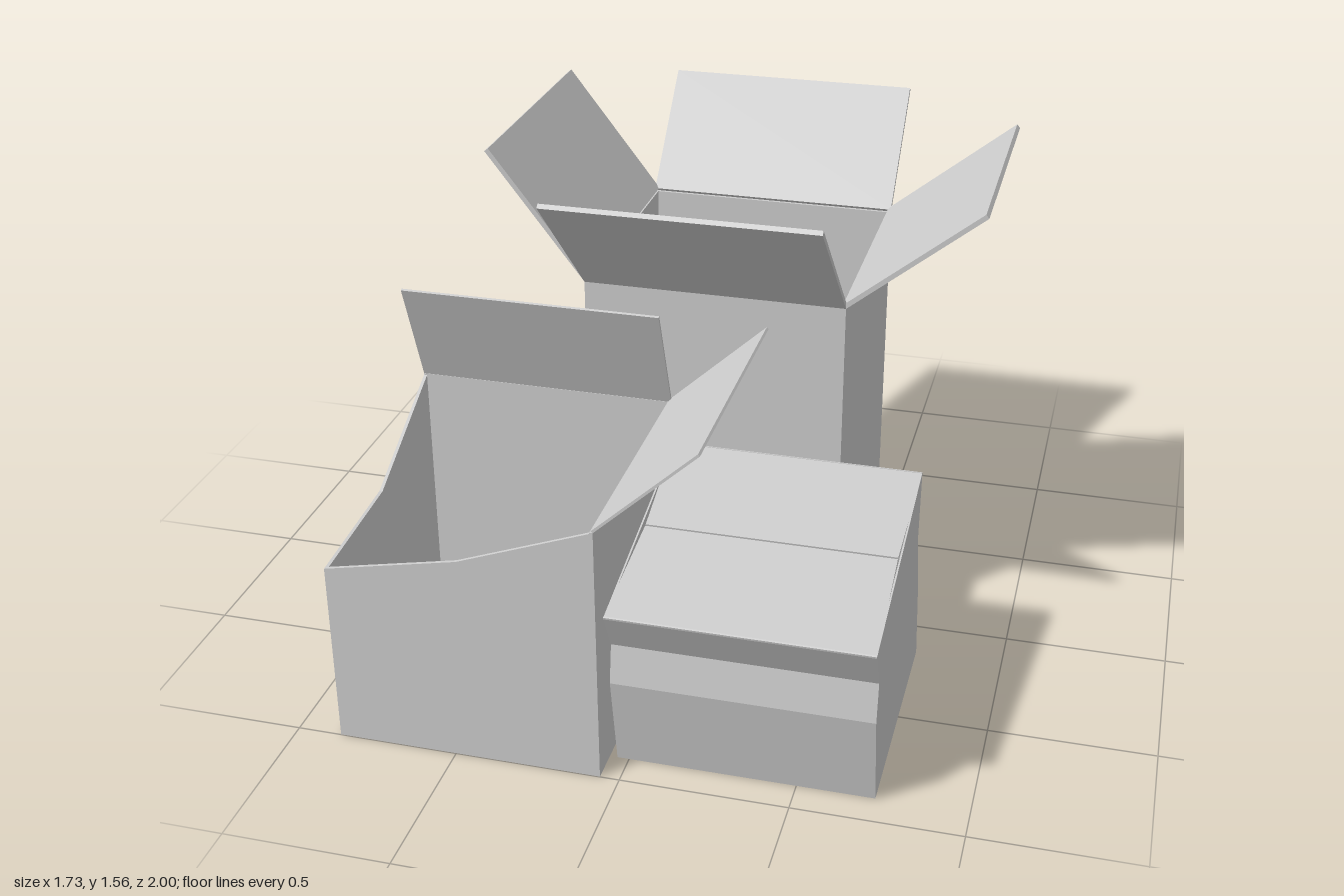
import * as THREE from 'three';

const material = new THREE.MeshStandardMaterial({ color: 0xcccccc, side: THREE.DoubleSide });
const V = (x, y, z) => new THREE.Vector3(x, y, z);

// Flat cardboard sheet: corners run anticlockwise seen from outside, thickness goes inwards.
function panel(name, pts, t = 0.01) {
  const u = pts[1].clone().sub(pts[0]).normalize();
  const n = u.clone().cross(pts[2].clone().sub(pts[0])).normalize();
  const v = n.clone().cross(u);
  const shape = new THREE.Shape(pts.map((p) => {
    const d = p.clone().sub(pts[0]);
    return new THREE.Vector2(d.dot(u), d.dot(v));
  }));
  const geo = new THREE.ExtrudeGeometry(shape, { depth: t, bevelEnabled: false });
  geo.translate(0, 0, -t);
  geo.applyMatrix4(new THREE.Matrix4().makeBasis(u, v, n).setPosition(pts[0]));
  const mesh = new THREE.Mesh(geo, material);
  mesh.name = name;
  return mesh;
}

// Open box; sides and corners go round as front, left (+x), back, right (-x).
// heights: one per corner, mids: optional sag height per side, flaps: optional [outward, upward].
function openBox(name, [x0, x1, z0, z1], heights, mids, flaps, flapThickness) {
  const box = new THREE.Group();
  box.name = name;
  const c = [[x0, z1], [x1, z1], [x1, z0], [x0, z0]];
  const out = [[0, 1], [1, 0], [0, -1], [-1, 0]];
  ['front', 'left', 'back', 'right'].forEach((side, i) => {
    const j = (i + 1) % 4;
    const [a, b] = [c[i], c[j]];
    const topA = V(a[0], heights[i], a[1]);
    const topB = V(b[0], heights[j], b[1]);
    const pts = [V(a[0], 0, a[1]), V(b[0], 0, b[1]), topB];
    if (mids[i]) pts.push(V((a[0] + b[0]) / 2, mids[i], (a[1] + b[1]) / 2));
    pts.push(topA);
    box.add(panel(side + 'Wall', pts));
    if (flaps[i]) {
      const [o, up] = flaps[i];
      const lean = V(out[i][0] * o, up, out[i][1] * o);
      const tips = [topB.clone().add(lean), topA.clone().add(lean)];
      box.add(panel(side + 'Flap', [topA, topB, ...tips], flapThickness));
    }
  });
  box.add(panel('floor', [0, 3, 2, 1].map((k) => V(c[k][0], 0, c[k][1]))));
  return box;
}

// Closed box with dented front and back, given by a side profile of [z, y].
function closedBox() {
  const box = new THREE.Group();
  box.name = 'closedBox';
  const x0 = -0.035, x1 = 0.73, top = 4;
  const p = [[0.9, 0], [0.145, 0], [0.2, 0.3], [0.265, 0.5],
    [0.25, 0.71], [1.0, 0.55], [0.935, 0.42], [0.955, 0.3]];
  const at = (x, [z, y]) => V(x, y, z);
  box.add(panel('leftWall', p.map((q) => at(x1, q)), 0.005));
  box.add(panel('rightWall', [1, 0, 7, 6, 5, 4, 3, 2].map((k) => at(x0, p[k])), 0.005));

  // bottom, back and front strips
  const names = ['floor', 'backLower', 'backMiddle', 'backUpper', '', 'frontUpper', 'frontMiddle', 'frontLower'];
  p.forEach((a, i) => {
    if (i === top) return;
    const b = p[(i + 1) % p.length];
    box.add(panel(names[i], [at(x0, a), at(x0, b), at(x1, b), at(x1, a)], 0.005));
  });

  // two lid flaps, narrower where they meet at the seam
  const along = (f) => [0, 1].map((k) => p[top][k] + (p[top + 1][k] - p[top][k]) * f);
  const s0 = along(0.49), s1 = along(0.498);
  const n0 = x0 + 0.014, n1 = x1 - 0.009;
  box.add(panel('backLid', [at(x0, p[4]), at(n0, s0), at(n1, s0), at(x1, p[4])], 0.006));
  box.add(panel('frontLid', [at(n0, s1), at(x0, p[5]), at(x1, p[5]), at(n1, s1)], 0.006));
  return box;
}

export function createModel() {
  const model = new THREE.Group();
  model.name = 'cardboardBoxes';
  model.add(openBox('tallBox', [-0.35, 0.46, -0.69, 0.12], [1.155, 1.155, 1.155, 1.155], [],
    [[0.405, 0.392], [0.402, 0.325], [0.31, 0.322], [0.303, 0.393]], 0.015));
  model.add(openBox('slumpedBox', [-0.865, -0.058, 0.188, 1.0], [0.58, 0.818, 0.818, 0.818],
    [0.665, 0, 0, 0.61], [null, [0.3, 0.277], [-0.13, 0.342], null], 0.008));
  model.add(closedBox());
  return model;
}
